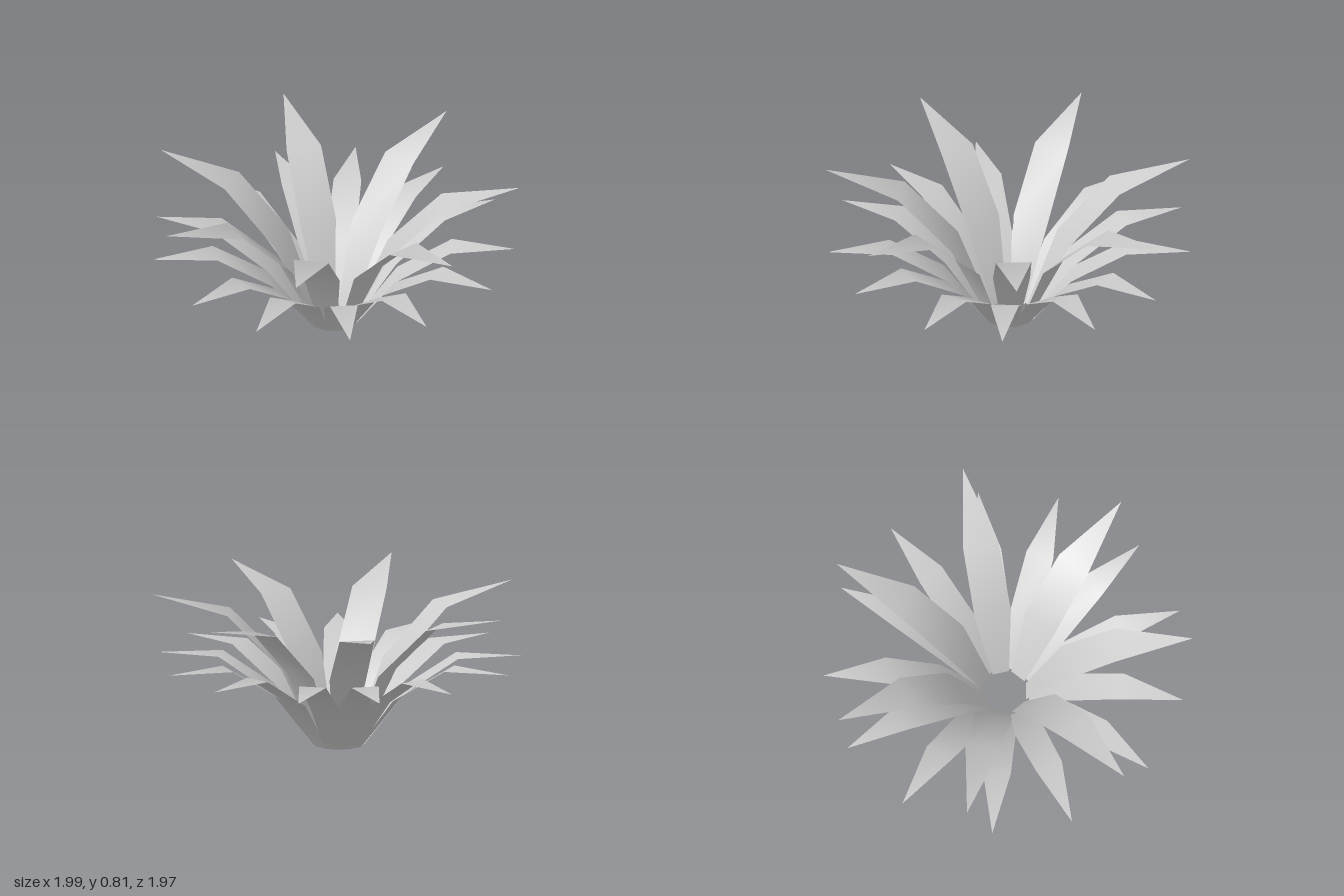
import * as THREE from 'three';

const material = new THREE.MeshStandardMaterial({ color: 0xcccccc, side: THREE.DoubleSide });

// Leaf blade from cross-sections [radius, height, half width], ending in a pointed tip
function leafGeometry(sections, tip) {
  const positions = [];
  const index = [];
  for (const [r, y, w] of sections) positions.push(r, y, w, r, y, -w);
  positions.push(tip[0], tip[1], 0);
  for (let i = 0; i < sections.length - 1; i++) {
    const a = i * 2;
    index.push(a, a + 2, a + 1, a + 1, a + 2, a + 3);
  }
  const last = (sections.length - 1) * 2;
  index.push(last, last + 2, last + 1);
  const geometry = new THREE.BufferGeometry();
  geometry.setAttribute('position', new THREE.Float32BufferAttribute(positions, 3));
  geometry.setIndex(index);
  geometry.computeVertexNormals();
  return geometry;
}

// Ring of leaves; angles are degrees from +x towards +z
function leafRing(name, geometry, count, angleAt) {
  const ring = new THREE.Group();
  ring.name = name;
  for (let i = 0; i < count; i++) {
    const leaf = new THREE.Mesh(geometry, material);
    leaf.name = name + 'Leaf' + (i + 1);
    leaf.rotation.y = -THREE.MathUtils.degToRad(angleAt(i));
    ring.add(leaf);
  }
  return ring;
}

export function createModel() {
  const plant = new THREE.Group();
  plant.name = 'plant';

  // Tall inner leaves
  const tall = leafGeometry(
    [[0.11, 0.005, 0.045], [0.3, 0.43, 0.1], [0.59, 0.72, 0.096]],
    [1.008, 0.81]
  );
  plant.add(leafRing('inner', tall, 7, (i) => -79.7 + i * 51.22));

  // Low outer leaves, with alternating spacing
  const low = leafGeometry(
    [[0.133, 0, 0.045], [0.345, 0.285, 0.08], [0.64, 0.475, 0.075]],
    [0.983, 0.47]
  );
  plant.add(leafRing('outer', low, 13, (i) => 250 + i * 27.87 + (i % 2) * 2.35));

  plant.position.x = 0.01;
  const model = new THREE.Group();
  model.name = 'spikyPlant';
  model.add(plant);
  return model;
}
